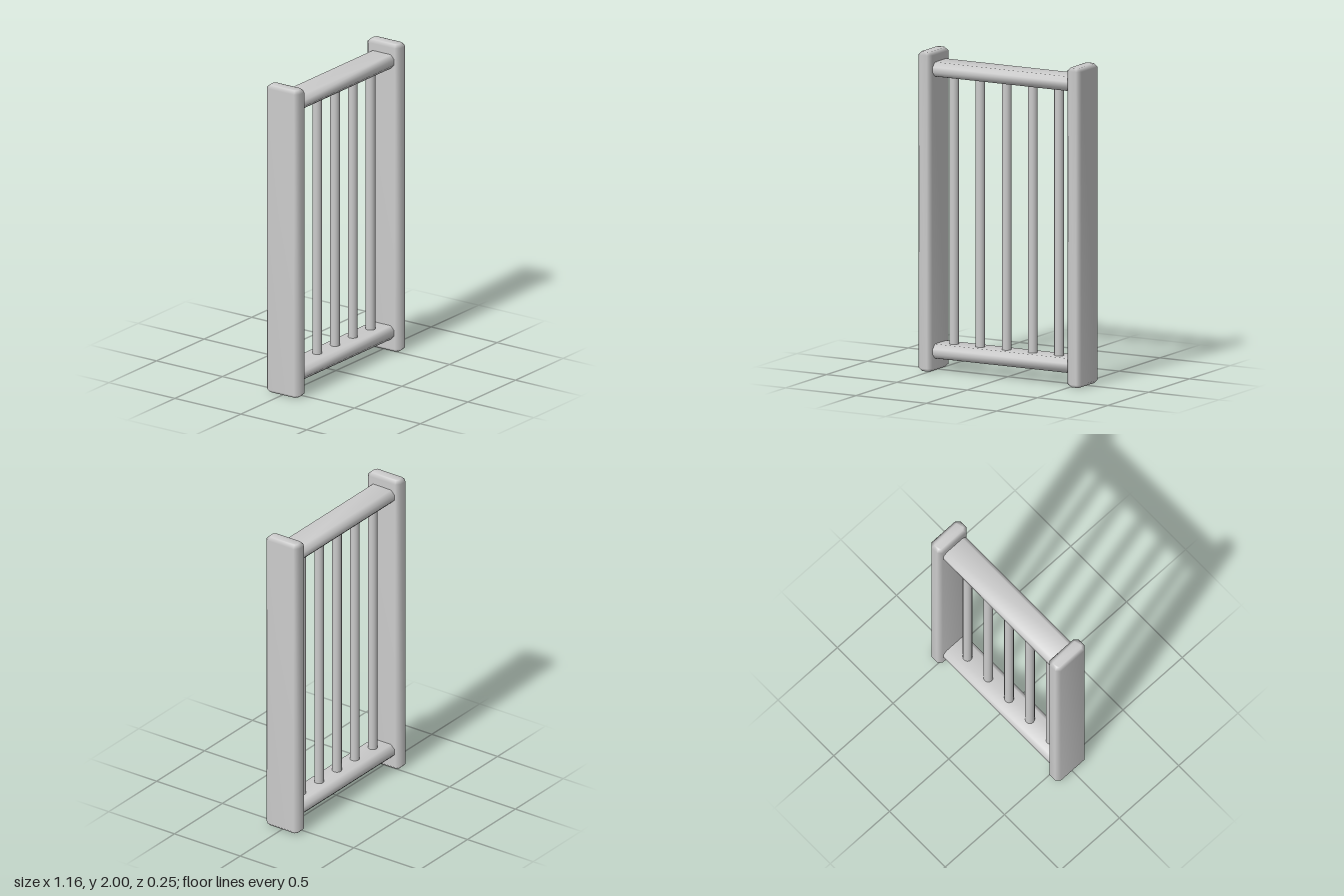
import * as THREE from 'three';
import { mergeVertices } from 'three/addons/utils/BufferGeometryUtils.js';

// Chamfered rectangle (w x h), extruded to the given length and centred, with soft shading.
function chamferedBar(w, h, length, c, bevel) {
  const x = w / 2, y = h / 2;
  const outline = new THREE.Shape([
    [x, c - y], [x, y - c], [x - c, y], [c - x, y],
    [-x, y - c], [-x, c - y], [c - x, -y], [x - c, -y],
  ].map(([a, b]) => new THREE.Vector2(a, b)));
  let geo = new THREE.ExtrudeGeometry(outline, {
    depth: length - 2 * bevel,
    bevelEnabled: bevel > 0,
    bevelThickness: bevel,
    bevelSize: bevel,
    bevelOffset: -bevel,
    bevelSegments: 1,
  });
  geo.translate(0, 0, bevel - length / 2);
  geo.deleteAttribute('uv');
  geo.deleteAttribute('normal');
  geo = mergeVertices(geo, 1e-4);
  geo.computeVertexNormals();
  return geo;
}

export function createModel() {
  const group = new THREE.Group();
  const material = new THREE.MeshStandardMaterial({ color: 0xcccccc });
  const add = (name, geo, x, y) => {
    const mesh = new THREE.Mesh(geo, material);
    mesh.name = name;
    mesh.position.set(x, y, 0);
    group.add(mesh);
  };

  // Side posts
  const post = chamferedBar(0.1, 0.248, 2, 0.025, 0.02).rotateX(-Math.PI / 2);
  add('rightPost', post, -0.53, 1);
  add('leftPost', post, 0.53, 1);

  // Cross rails between the posts
  const rail = chamferedBar(0.19, 0.09, 0.964, 0.027, 0).rotateY(Math.PI / 2);
  add('bottomRail', rail, 0, 0.125);
  add('topRail', rail, 0, 1.89);

  // Five round upright bars, evenly spaced
  const bar = new THREE.CylinderGeometry(0.03, 0.03, 1.7, 16, 1, true);
  for (let i = 0; i < 5; i++) {
    add(`bar${i + 1}`, bar, -0.01 + (i - 2) * 0.1865, 1.0075);
  }
  return group;
}
